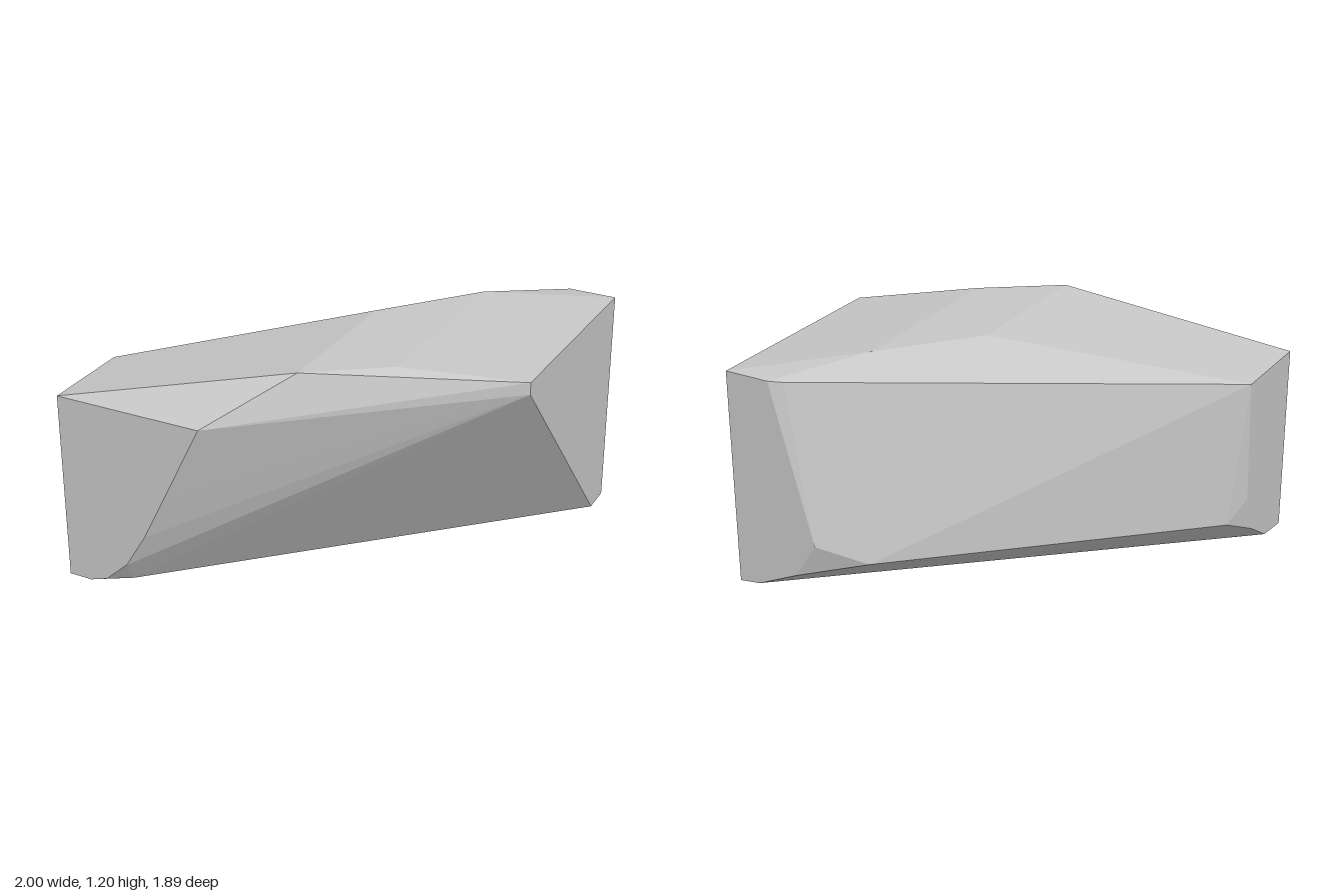
import * as THREE from 'three';
import { ConvexGeometry } from 'three/addons/geometries/ConvexGeometry.js';

export function createModel() {
  const group = new THREE.Group();
  group.name = 'rock';
  const stone = new THREE.MeshStandardMaterial({ color: 0xc6c6c6 });
  stone.name = 'light grey stone';

  const W = 1, D = 0.945;
  // the four cut side faces, each as a flat outline
  const front = [[-1, 0.965], [-0.245, 0.965], [-0.45, 0.55], [-0.56, 0.33], [-0.67, 0.15], [-0.79, 0.04], [-0.88, 0.01], [-1, 0.01]];
  const back = [[0.765, 1.13], [1, 1.13], [1, 0.03], [0.887, 0.045], [0.664, 0.15], [0.545, 0.335]];
  const leftEnd = [[0.13, 1.13], [0.13, 1.07], [-0.8, 0.025]];
  const rightEnd = [[0.475, 0.965], [0.505, 0.34], [0.58, 0.145], [0.76, 0.03]];
  // flat top, bevelled back ridge, lower edge of the back wall, underside
  const top = [[0.1, 1.2, 0.65], [0.46, 1.2, 0.39], [0.46, 1.2, -0.56], [0.1, 1.2, -0.12]];
  const wall = [[0.7, 1.125, -0.91], [0.34, 0.23, -0.8], [-0.94, 0.225, 0.413]];
  const underside = [[-0.69, 0.027, 0.86], [-0.94, 0, 0.84]];

  const points = [
    ...front.map(([x, y]) => [x, y, D]),
    ...back.map(([x, y]) => [x, y, -D]),
    ...leftEnd.map(([z, y]) => [W, y, z]),
    ...rightEnd.map(([z, y]) => [-W, y, z]),
    ...top, ...wall, ...underside,
  ].map((p) => new THREE.Vector3(...p));

  // one faceted convex block
  const block = new THREE.Mesh(new ConvexGeometry(points), stone);
  block.name = 'rockBlock';
  group.add(block);
  return group;
}
